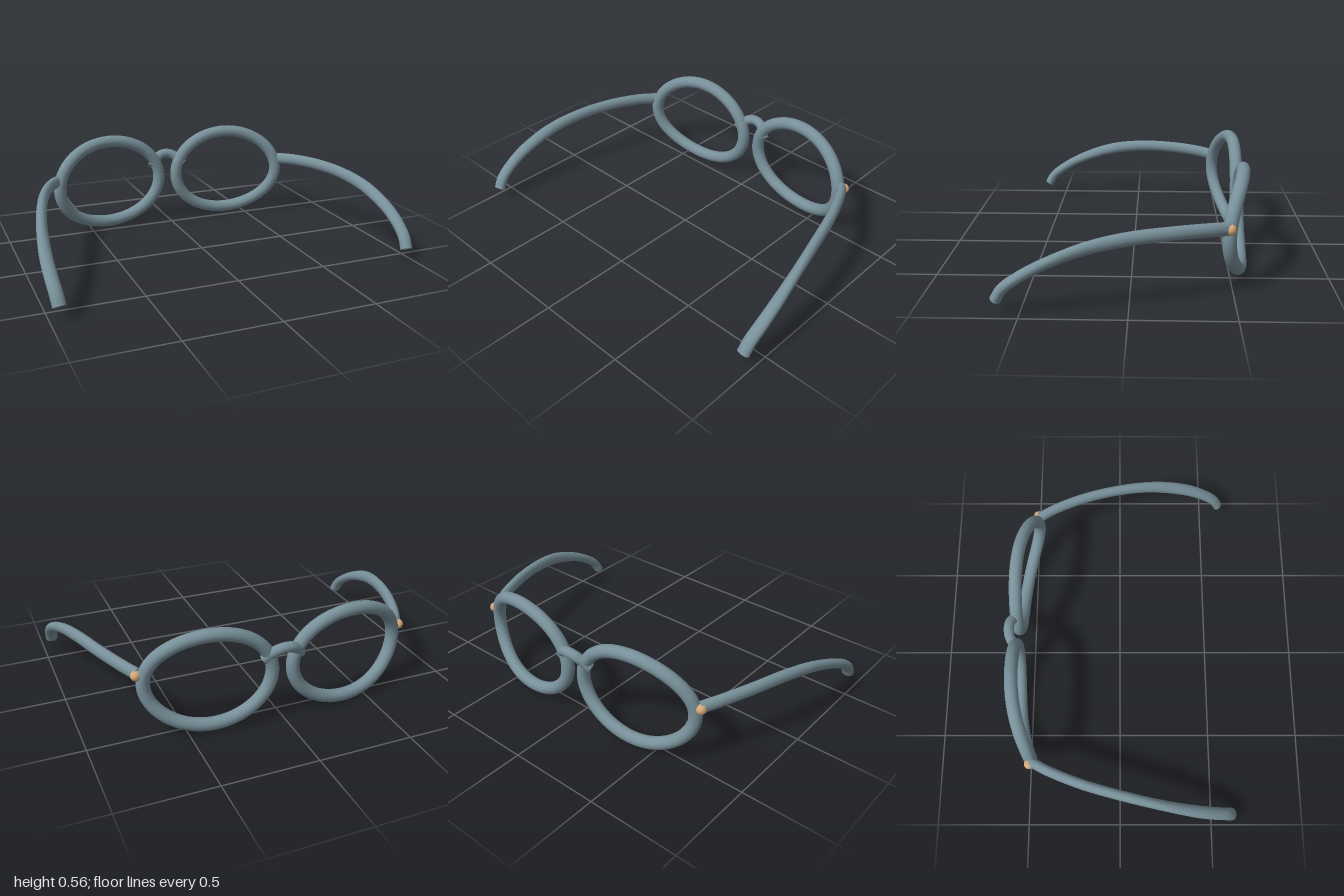
import * as THREE from 'three';

const frameMat = new THREE.MeshStandardMaterial({ color: 0x78909a });
frameMat.name = 'blueGreyFrame';
const hingeMat = new THREE.MeshStandardMaterial({ color: 0xd2a878 });
hingeMat.name = 'tanHinge';

const V = (x, y, z) => new THREE.Vector3(x, y, z);

function addMesh(parent, name, geometry, material) {
  const mesh = new THREE.Mesh(geometry, material);
  mesh.name = name;
  parent.add(mesh);
  return mesh;
}

// Oval rim centreline, sweeping back towards the temple
class RimCurve extends THREE.Curve {
  constructor(side) {
    super();
    this.side = side;
  }
  getPoint(t, target = new THREE.Vector3()) {
    const a = t * Math.PI * 2;
    const x = 0.376 + 0.32 * Math.cos(a);
    const y = 0.287 + 0.247 * Math.sin(a);
    const k = Math.max(0, (x - 0.1) / 0.6);
    return target.set(this.side * x, y, -0.571 + 0.1 * k ** 3);
  }
}

// Oval-section sweep whose wide axis turns from upright to sideways, with flat ends
function ovalSweep(curve, side, wide, narrow, steps = 48, sides = 16) {
  const positions = [], indices = [];
  const up = V(0, 1, 0), across = V(side, 0, 0);
  const ring = (t) => {
    const c = curve.getPointAt(t), T = curve.getTangentAt(t);
    const A = up.clone().lerp(across, THREE.MathUtils.smoothstep(t, 0.35, 1));
    A.addScaledVector(T, -A.dot(T)).normalize();
    const B = T.clone().cross(A);
    for (let j = 0; j < sides; j++) {
      const a = (j / sides) * Math.PI * 2;
      const p = c.clone().addScaledVector(A, wide * Math.cos(a)).addScaledVector(B, narrow * Math.sin(a));
      positions.push(p.x, p.y, p.z);
    }
    return c;
  };
  for (let i = 0; i <= steps; i++) ring(i / steps);
  for (let i = 0; i < steps; i++) {
    for (let j = 0; j < sides; j++) {
      const a = i * sides + j, b = i * sides + (j + 1) % sides;
      indices.push(a, b, a + sides, b, b + sides, a + sides);
    }
  }
  // End caps with their own vertices for a sharp edge
  for (const t of [0, 1]) {
    const start = positions.length / 3;
    const c = ring(t);
    positions.push(c.x, c.y, c.z);
    for (let j = 0; j < sides; j++) {
      const a = start + j, b = start + (j + 1) % sides, m = start + sides;
      if (t) indices.push(m, a, b);
      else indices.push(m, b, a);
    }
  }
  const g = new THREE.BufferGeometry();
  g.setAttribute('position', new THREE.Float32BufferAttribute(positions, 3));
  g.setIndex(indices);
  g.computeVertexNormals();
  return g;
}

export function createModel() {
  const glasses = new THREE.Group();
  glasses.name = 'glasses';

  for (const side of [1, -1]) {
    const half = new THREE.Group();
    half.name = side > 0 ? 'leftSide' : 'rightSide';
    glasses.add(half);

    addMesh(half, 'rim', new THREE.TubeGeometry(new RimCurve(side), 72, 0.035, 14, true), frameMat);

    const hinge = addMesh(half, 'hinge', new THREE.SphereGeometry(0.027, 20, 14), hingeMat);
    hinge.position.set(side * 0.729, 0.345, -0.475);

    // Temple arm curving outwards and down behind the ear
    const path = new THREE.CatmullRomCurve3([
      V(0.717, 0.346, -0.468), V(0.765, 0.356, -0.38), V(0.837, 0.363, -0.2),
      V(0.893, 0.355, 0), V(0.935, 0.32, 0.2), V(0.96, 0.245, 0.4),
      V(0.962, 0.182, 0.51), V(0.957, 0.13, 0.575), V(0.951, 0.077, 0.607),
    ].map((p) => p.setX(p.x * side)));
    addMesh(half, 'temple', ovalSweep(path, side, 0.034, 0.027), frameMat);
  }

  // Arched nose bridge with closed ends
  const bridgePath = new THREE.CatmullRomCurve3([
    V(-0.1, 0.35, -0.567), V(-0.075, 0.38, -0.583), V(-0.04, 0.407, -0.601), V(0, 0.415, -0.606),
    V(0.04, 0.407, -0.601), V(0.075, 0.38, -0.583), V(0.1, 0.35, -0.567),
  ]);
  const bridge = new THREE.Group();
  bridge.name = 'bridge';
  glasses.add(bridge);
  addMesh(bridge, 'bridgeArch', new THREE.TubeGeometry(bridgePath, 32, 0.028, 12), frameMat);
  for (const t of [0, 1]) {
    const cap = addMesh(bridge, 'bridgeEnd', new THREE.CircleGeometry(0.028, 12), frameMat);
    const p = bridgePath.getPointAt(t);
    cap.position.copy(p);
    cap.lookAt(p.clone().addScaledVector(bridgePath.getTangentAt(t), t ? 1 : -1));
  }

  return glasses;
}
